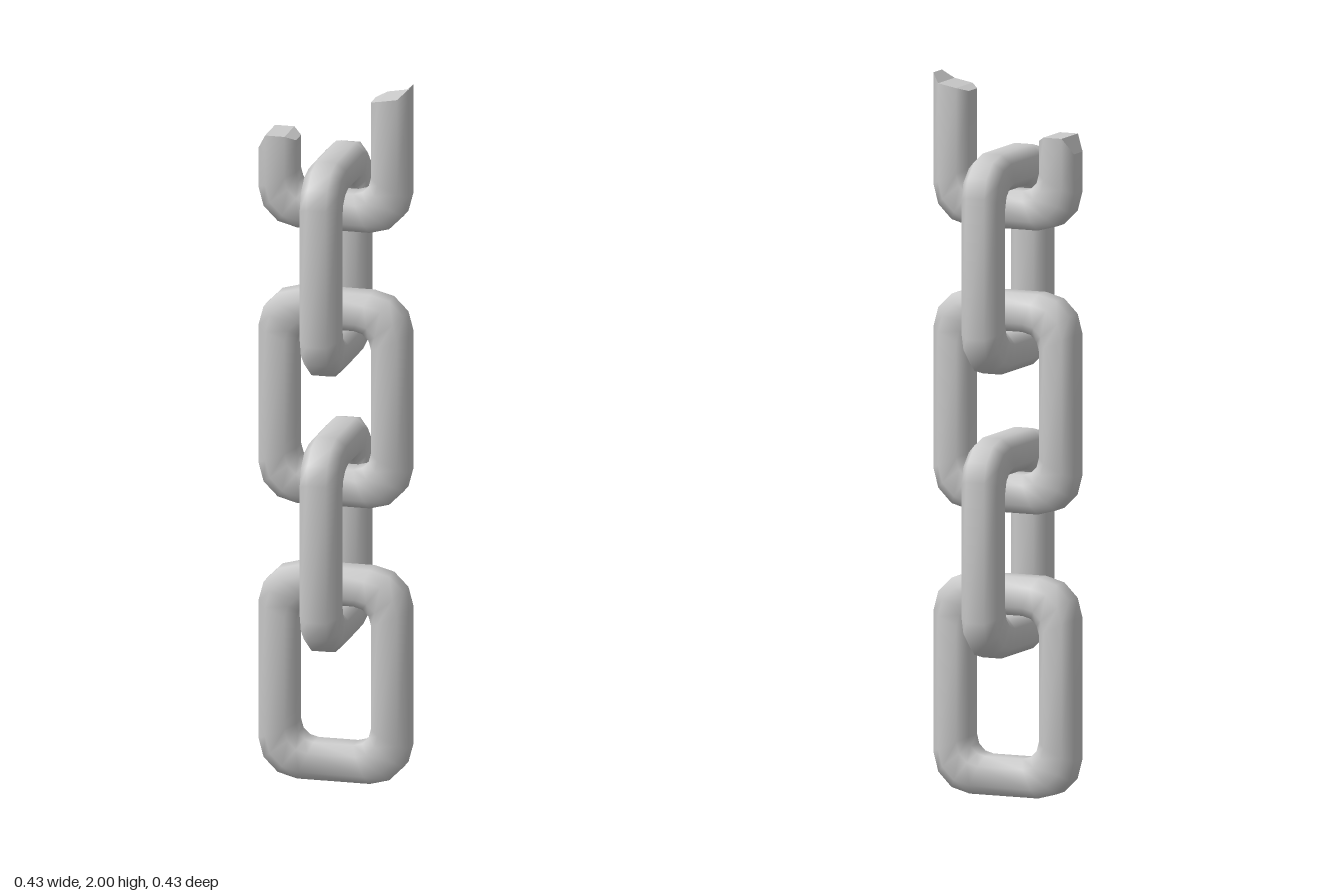
import * as THREE from 'three';
import { mergeGeometries } from 'three/addons/utils/BufferGeometryUtils.js';

const HALF_W = 0.16, HALF_H = 0.2525; // bar centreline half sizes
const PITCH = 0.395, LINK_H = 0.613, STEPS = 3;
const T = 0.0535, F = 0.0275;         // bar half thickness and half flat
// Bar section: d points away from the link's middle, w across it
const SECTION = [[T, -F], [T, F], [F, T], [-F, T], [-T, F], [-T, -F], [-F, -T], [F, -T]];
const N = SECTION.length;

// Points round the given corners of a rounded rectangle grown by d
function outline(d, corners) {
  const radius = 0.08 + 0.03 * d / T;
  const cx = HALF_W + d - radius, cy = HALF_H + d - radius;
  const points = [];
  for (const k of corners) {
    const sx = k === 0 || k === 3 ? 1 : -1, sy = k < 2 ? 1 : -1;
    for (let s = 0; s <= STEPS; s++) {
      const a = (k + s / STEPS) * Math.PI / 2;
      points.push([sx * cx + radius * Math.cos(a), sy * cy + radius * Math.sin(a)]);
    }
  }
  return points;
}

// rings[i][j] = [x, y, z]; skins neighbouring rings, smooth all round
function skin(rings, closed) {
  const index = [], count = rings.length;
  for (let i = 0; i < (closed ? count : count - 1); i++) {
    for (let j = 0; j < N; j++) {
      const a = i * N + j, b = i * N + (j + 1) % N;
      const c = ((i + 1) % count) * N + j, e = ((i + 1) % count) * N + (j + 1) % N;
      index.push(a, c, b, b, c, e);
    }
  }
  return build(rings.flat(), index);
}

function build(points, index) {
  const geometry = new THREE.BufferGeometry();
  geometry.setAttribute('position', new THREE.Float32BufferAttribute(points.flat(), 3));
  geometry.setIndex(index);
  geometry.computeVertexNormals();
  return geometry;
}

// Flat-shaded end face made of three strips across the bar
function cap(ring, flip) {
  const index = [];
  for (const [a, b, c, d] of [[0, 1, 2, 7], [7, 2, 3, 6], [6, 3, 4, 5]]) {
    index.push(...(flip ? [a, c, b, a, d, c] : [a, b, c, a, c, d]));
  }
  const flat = build(ring, index).toNonIndexed();
  flat.computeVertexNormals();
  return flat;
}

function ringsFor(corners) {
  const lines = SECTION.map(([d]) => outline(d, corners));
  return lines[0].map((_, i) => SECTION.map(([, w], j) => [...lines[j][i], w]));
}

function wholeLink() {
  return skin(ringsFor([0, 1, 2, 3]), true);
}

// Lower half of a link whose two arms end in jagged breaks
function brokenLink(centreY) {
  // Break heights from the inner to the outer side of each arm
  const leftBreak = { [-T]: 1.83, [-F]: 1.845, [F]: 1.845, [T]: 1.80 };
  const rightBreak = { [-T]: 1.955, [-F]: 1.965, [F]: 1.975, [T]: 2.0 };
  const end = (side, heights) =>
    SECTION.map(([d, w]) => [side * (HALF_W + d), heights[d] - centreY, w]);
  const first = end(-1, leftBreak), last = end(1, rightBreak);
  const bar = skin([first, ...ringsFor([2, 3]), last], false).toNonIndexed();
  return mergeGeometries([bar, cap(first, false), cap(last, true)]);
}

export function createModel() {
  const chain = new THREE.Group();
  chain.name = 'chain';
  const material = new THREE.MeshStandardMaterial({ color: 0xcccccc });
  const whole = wholeLink();
  // Each link is turned a quarter from the one below; the top one is broken
  for (let i = 0; i < 5; i++) {
    const y = LINK_H / 2 + i * PITCH;
    const link = new THREE.Mesh(i === 4 ? brokenLink(y) : whole, material);
    link.name = i === 4 ? 'brokenLink' : `link${i + 1}`;
    link.position.y = y;
    link.rotation.y = i % 2 ? Math.PI / 2 : 0;
    chain.add(link);
  }
  return chain;
}
